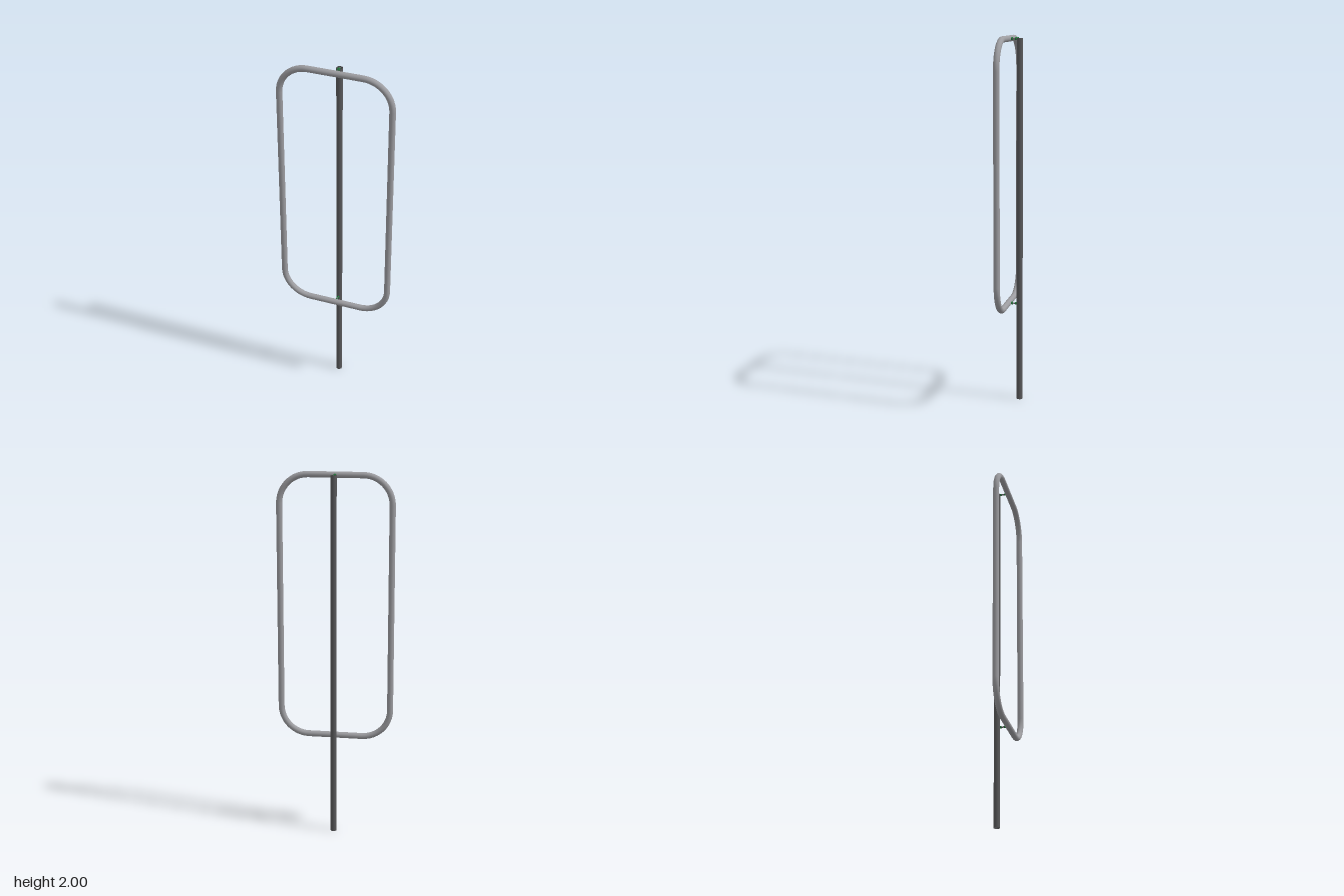
import * as THREE from 'three';

const TUBE_R = 0.0165;
const POLE_Z = -0.032, FRAME_Z = 0.031;
const TOP = 1.9835, BOTTOM = 0.546, HALF_W = 0.303, CORNER = 0.155;

const material = (name, color, side = THREE.FrontSide) => {
  const m = new THREE.MeshStandardMaterial({ color, side });
  m.name = name;
  return m;
};

// Closed rounded rectangle, swept as one tube with shared smooth normals
function frameGeometry() {
  const centres = [
    [HALF_W - CORNER, TOP - CORNER], [-HALF_W + CORNER, TOP - CORNER],
    [-HALF_W + CORNER, BOTTOM + CORNER], [HALF_W - CORNER, BOTTOM + CORNER],
  ];
  const sides = 20, arcSteps = 12, positions = [], normals = [], index = [];
  const rings = centres.length * (arcSteps + 1);
  centres.forEach(([cx, cy], corner) => {
    for (let i = 0; i <= arcSteps; i++) {
      const a = (corner + i / arcSteps) * Math.PI / 2;
      const ox = Math.cos(a), oy = Math.sin(a);
      for (let j = 0; j <= sides; j++) {
        const t = j / sides * Math.PI * 2, c = Math.cos(t), s = Math.sin(t);
        const r = CORNER + TUBE_R * c;
        positions.push(cx + ox * r, cy + oy * r, FRAME_Z + TUBE_R * s);
        normals.push(ox * c, oy * c, s);
      }
    }
  });
  for (let i = 0; i < rings; i++) {
    for (let j = 0; j < sides; j++) {
      const a = i * (sides + 1) + j, b = ((i + 1) % rings) * (sides + 1) + j;
      index.push(a, b, a + 1, b, b + 1, a + 1);
    }
  }
  const g = new THREE.BufferGeometry();
  g.setAttribute('position', new THREE.Float32BufferAttribute(positions, 3));
  g.setAttribute('normal', new THREE.Float32BufferAttribute(normals, 3));
  g.setIndex(index);
  return g;
}

export function createModel() {
  const model = new THREE.Group();
  const poleMat = material('dark pole steel', 0x58585a, THREE.DoubleSide);
  const frameMat = material('light frame steel', 0x9c9ca0);
  const boltMat = material('bolt steel', 0x66666a);
  const nutMat = material('green nut', 0x237a3c);

  const add = (parent, name, geometry, mat) => {
    const mesh = new THREE.Mesh(geometry, mat);
    mesh.name = name;
    parent.add(mesh);
    return mesh;
  };

  // Hollow upright, open at both ends
  const poleH = 1.987;
  add(model, 'pole', new THREE.CylinderGeometry(TUBE_R, TUBE_R, poleH, 32, 1, true), poleMat)
    .position.set(0, poleH / 2, POLE_Z);

  add(model, 'frame', frameGeometry(), frameMat);

  // Bolts with three nuts each join the frame to the pole
  const rod = new THREE.CylinderGeometry(0.004, 0.004, 0.058, 16).rotateX(Math.PI / 2);
  const nut = new THREE.CylinderGeometry(0.0075, 0.0075, 0.008, 6).toNonIndexed();
  nut.computeVertexNormals();
  nut.rotateX(Math.PI / 2);
  for (const [name, y] of [['upperBolt', TOP], ['lowerBolt', BOTTOM]]) {
    const bolt = new THREE.Group();
    bolt.name = name;
    bolt.position.y = y;
    add(bolt, 'rod', rod, boltMat).position.z = -0.01;
    for (const z of [0.0105, -0.0115, -0.0225]) add(bolt, 'nut', nut, nutMat).position.z = z;
    model.add(bolt);
  }
  return model;
}
